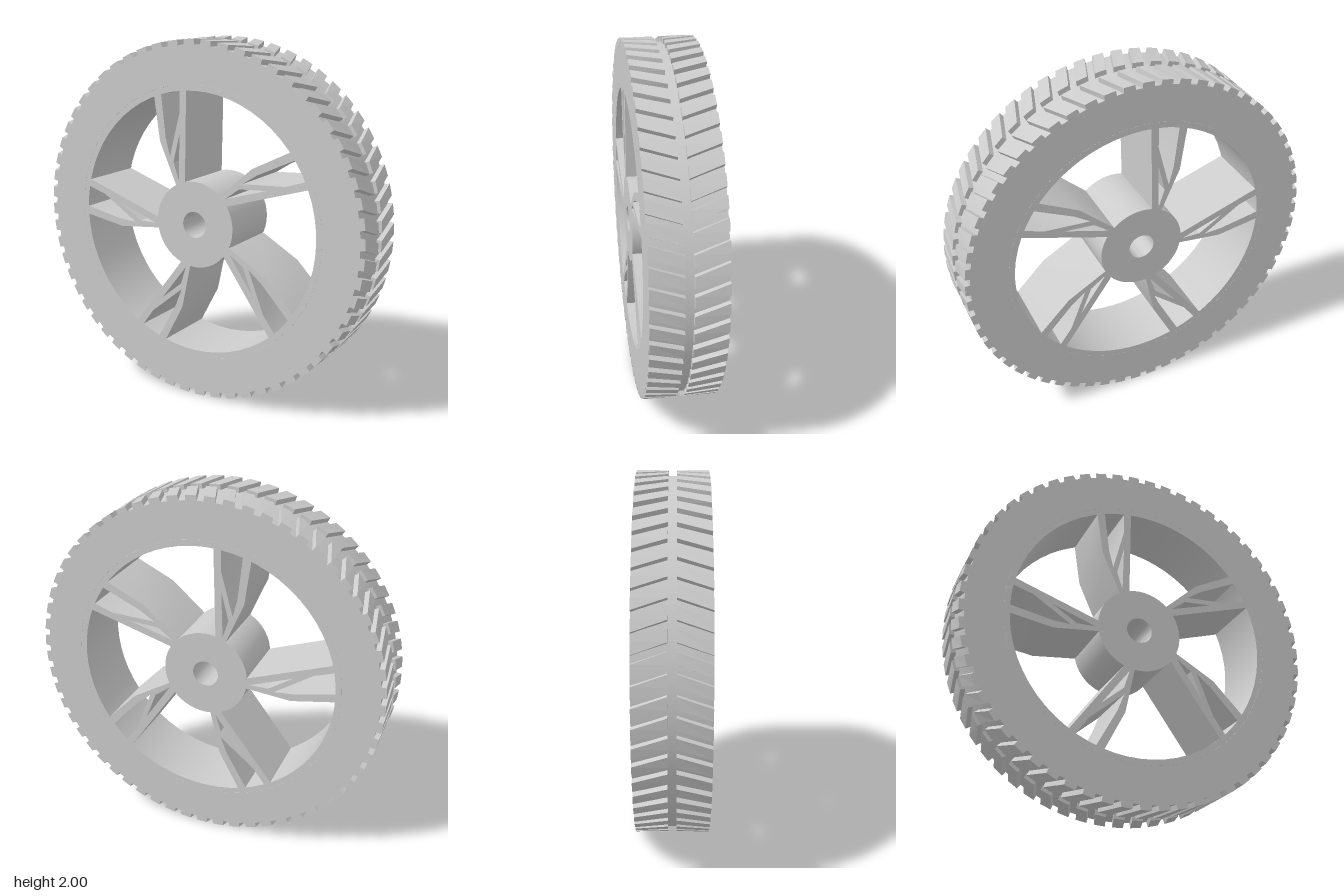
import * as THREE from 'three';
import { toCreasedNormals } from 'three/addons/utils/BufferGeometryUtils.js';

const HALF = 0.195;        // half the wheel's width
const BASE = 0.972;        // tyre radius under the tread
const LUGS = 60;
const SPOKES = 5;

const material = new THREE.MeshStandardMaterial({ color: 0xcccccc });

function addMesh(parent, name, geometry) {
  const mesh = new THREE.Mesh(geometry, material);
  mesh.name = name;
  parent.add(mesh);
  return mesh;
}

// Extrude a shape over the full width, centred on z = 0
function slab(shape, curveSegments = 32) {
  const g = new THREE.ExtrudeGeometry(shape, { depth: 2 * HALF, bevelEnabled: false, curveSegments });
  g.translate(0, 0, -HALF);
  return toCreasedNormals(g, 0.5);
}

function ring(outer, inner, curveSegments) {
  const shape = new THREE.Shape().absarc(0, 0, outer, 0, Math.PI * 2, false);
  shape.holes.push(new THREE.Path().absarc(0, 0, inner, 0, Math.PI * 2, true));
  return slab(shape, curveSegments);
}

const points = (list) => list.map(([x, y]) => new THREE.Vector2(x, y));

// Forked spoke with a small triangular window
function spokeGeometry() {
  const shape = new THREE.Shape(points([
    [-0.112, 0.198], [-0.06, 0.2], [-0.048, 0.742], [-0.091, 0.74], [-0.091, 0.61],
    [-0.156, 0.365], [-0.182, 0.465], [-0.211, 0.715], [-0.257, 0.702], [-0.22, 0.444],
  ]));
  shape.holes.push(new THREE.Path(points([[-0.092, 0.497], [-0.133, 0.337], [-0.1, 0.236]])));
  return slab(shape);
}

// Slanted tread block at the top of the wheel; side is +1 (front) or -1 (back)
function lugGeometry(side) {
  const inner = 0.022, depth = HALF - inner;
  const g = new THREE.BoxGeometry(0.062, 1, depth, 1, 1, 1);
  const p = g.attributes.position;
  for (let i = 0; i < p.count; i++) {
    const top = p.getY(i) > 0;
    const outward = p.getZ(i) * side / depth;              // -0.5 at the middle, 0.5 at the sidewall
    const angle = p.getX(i) * (top ? 1 : 1.12) - outward * 0.06;
    const radius = top ? 1 : BASE - 0.012;
    p.setXYZ(i, Math.sin(angle) * radius, Math.cos(angle) * radius,
      side * (inner + (outward + 0.5) * depth));
  }
  const flat = g.toNonIndexed();
  flat.computeVertexNormals();
  return flat;
}

export function createModel() {
  const wheel = new THREE.Group();
  wheel.name = 'wheel';
  wheel.position.y = 1;

  addMesh(wheel, 'tyre', ring(BASE, 0.765, 60));
  addMesh(wheel, 'rim', ring(0.765, 0.732, 32));
  addMesh(wheel, 'hub', ring(0.241, 0.073, 24));

  // Spokes
  const spoke = spokeGeometry();
  for (let i = 0; i < SPOKES; i++) {
    addMesh(wheel, 'spoke', spoke).rotation.z = i * Math.PI * 2 / SPOKES;
  }

  // Two mirrored rows of tread blocks
  for (const side of [1, -1]) {
    const row = new THREE.Group();
    row.name = side > 0 ? 'frontTread' : 'backTread';
    const lug = lugGeometry(side);
    for (let i = 0; i < LUGS; i++) {
      addMesh(row, 'treadBlock', lug).rotation.z = i * Math.PI * 2 / LUGS;
    }
    wheel.add(row);
  }

  const model = new THREE.Group();
  model.name = 'spokedWheel';
  model.add(wheel);
  return model;
}
